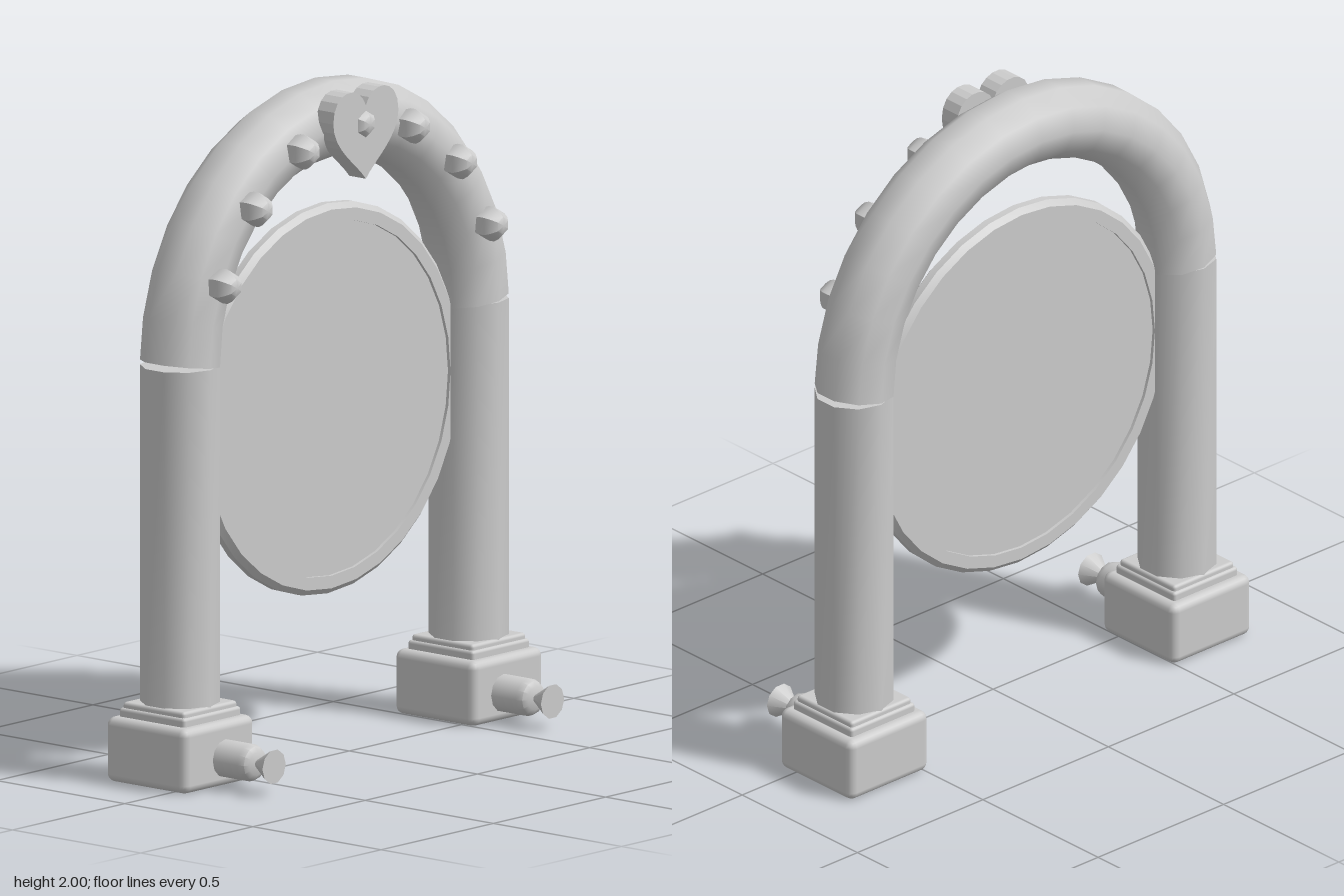
import * as THREE from 'three';
import { toCreasedNormals } from 'three/addons/utils/BufferGeometryUtils.js';
import { RoundedBoxGeometry } from 'three/addons/geometries/RoundedBoxGeometry.js';

const CX = -0.097;      // centre plane of the arch
const R = 0.643;        // arch radius, also the column offset
const TUBE = 0.118;     // pipe radius
const SPRING = 1.246;   // height where the arch starts

const grey = new THREE.MeshStandardMaterial({ color: 0xcccccc, side: THREE.DoubleSide });
grey.name = 'stone grey';

function add(parent, name, geometry, x = 0, y = 0, z = 0) {
  const mesh = new THREE.Mesh(geometry, grey);
  mesh.name = name;
  mesh.position.set(x, y, z);
  parent.add(mesh);
  return mesh;
}

// Turned shape around the x axis; profile is [radius, x] pairs
function turned(profile, segments, start = 0, length = Math.PI * 2, crease = 0.7) {
  const points = profile.map(([r, x]) => new THREE.Vector2(r, x));
  const geometry = new THREE.LatheGeometry(points, segments, start, length);
  geometry.rotateZ(-Math.PI / 2);
  return toCreasedNormals(geometry, crease);
}

// Half ring with ten-sided section and slightly tilted ends
function archGeometry() {
  const section = [];
  for (let i = 0; i <= 10; i++) {
    const a = Math.PI / 2 + (i / 10) * Math.PI * 2;
    section.push([R + TUBE * Math.cos(a), TUBE * Math.sin(a)]);
  }
  const geometry = turned(section, 16, Math.PI, Math.PI, 0.9);
  const p = geometry.attributes.position;
  for (let i = 0; i < p.count; i++) {
    if (Math.abs(p.getY(i)) < 1e-4) p.setY(i, 0.004 + (Math.abs(p.getZ(i)) - R) * 0.14);
  }
  return geometry;
}

function heartGeometry() {
  const s = new THREE.Shape();
  s.moveTo(0, 1.725);
  s.bezierCurveTo(0.04, 1.775, 0.145, 1.83, 0.145, 1.91);
  s.bezierCurveTo(0.145, 2.015, 0.025, 2.015, 0, 1.945);
  s.bezierCurveTo(-0.025, 2.015, -0.145, 2.015, -0.145, 1.91);
  s.bezierCurveTo(-0.145, 1.83, -0.04, 1.775, 0, 1.725);
  const geometry = new THREE.ExtrudeGeometry(s, { depth: 0.065, bevelEnabled: false, curveSegments: 8 });
  return geometry.rotateY(Math.PI / 2);
}

export function createModel() {
  const model = new THREE.Group();
  model.name = 'archwayWithDisc';

  add(model, 'arch', archGeometry(), CX, SPRING, 0);

  // Columns, bases and nozzles on both sides
  const nozzle = turned([[0.057, 0], [0.057, 0.1], [0.05, 0.12], [0.035, 0.13], [0, 0.13]], 12);
  const horn = turned([[0, 0], [0.01, 0], [0.052, 0.067], [0, 0.067]], 10);
  for (const side of [1, -1]) {
    const leg = new THREE.Group();
    leg.name = side > 0 ? 'leftLeg' : 'rightLeg';
    model.add(leg);
    const z = side * R;
    const column = new THREE.CylinderGeometry(TUBE, TUBE, SPRING - 0.2, 10, 1, false, Math.PI / 2);
    add(leg, 'column', toCreasedNormals(column, 0.9), CX, (SPRING + 0.2) / 2, z);
    add(leg, 'base', new RoundedBoxGeometry(0.315, 0.195, 0.315, 2, 0.025), CX, 0.0975, z);
    add(leg, 'lowerPlate', new RoundedBoxGeometry(0.256, 0.036, 0.256, 2, 0.01), CX, 0.203, z);
    add(leg, 'upperPlate', new RoundedBoxGeometry(0.24, 0.03, 0.24, 2, 0.01), CX, 0.223, z);
    add(leg, 'nozzle', nozzle, 0.055, 0.085, side * 0.62);
    add(leg, 'nozzleHorn', horn, 0.183, 0.085, side * 0.62);
  }

  // Round panel with a raised rim
  const rim = [[0.53, -0.028], [0.568, -0.028], [0.585, -0.012], [0.585, 0.012],
    [0.568, 0.028], [0.53, 0.028], [0.53, -0.028]];
  add(model, 'discRim', turned(rim, 32, 0, Math.PI * 2, 0.5), CX, 1.046, 0);
  const panel = [[0, -0.018], [0.535, -0.018], [0.535, 0.018], [0, 0.018]];
  add(model, 'disc', turned(panel, 32), CX, 1.046, 0);

  // Six-sided studs along the arch
  const stud = turned([[0.045, 0], [0.052, 0.025], [0.052, 0.045], [0.042, 0.063], [0.026, 0.08], [0, 0.084]],
    6, Math.PI / 2, Math.PI * 2, 0.75);
  for (let i = 1; i <= 7; i++) {
    const a = (i * Math.PI) / 8;
    add(model, 'stud', stud, 0, SPRING + R * Math.sin(a), R * Math.cos(a));
  }

  add(model, 'heart', heartGeometry());
  return model;
}
